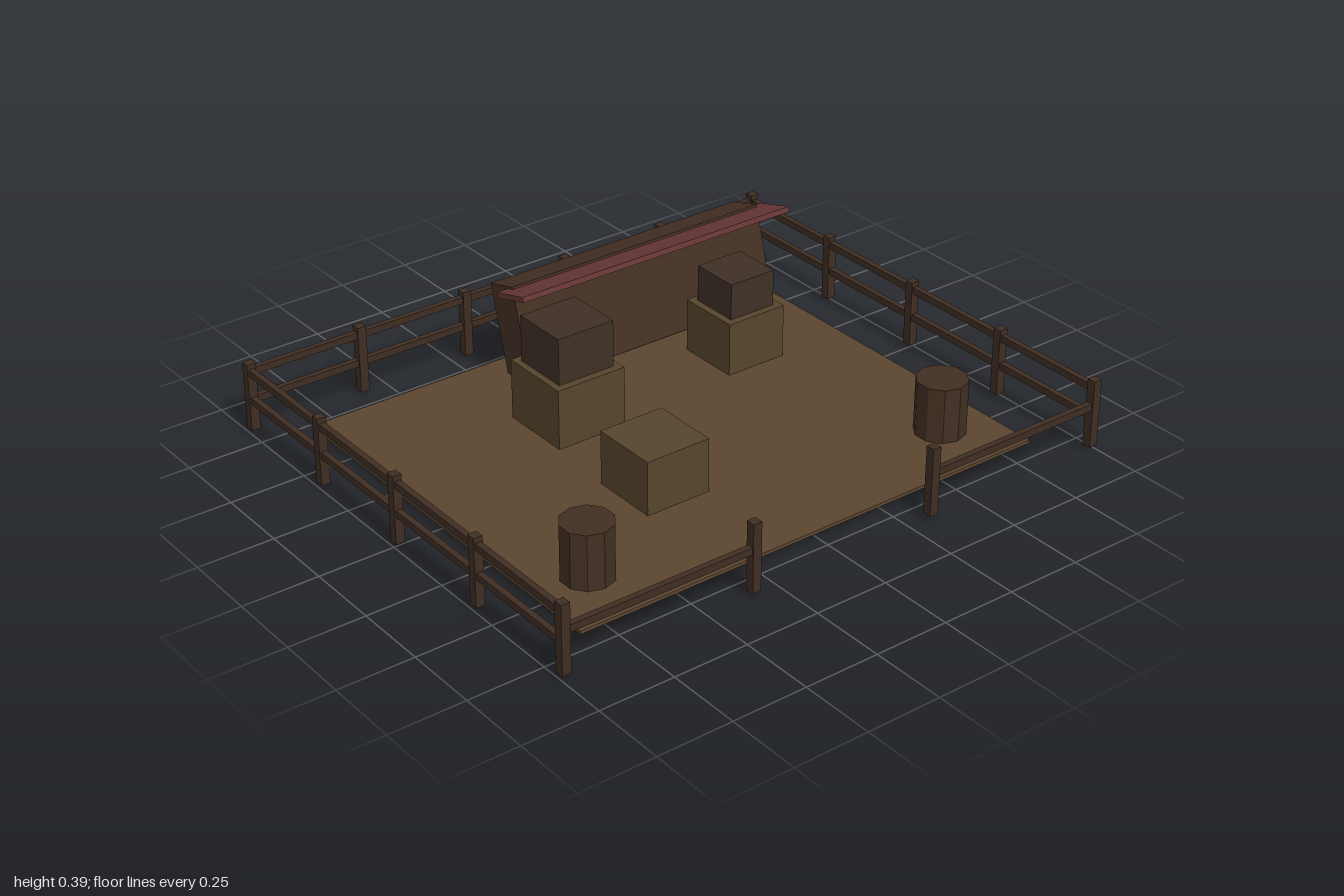
import * as THREE from 'three';

const mat = (color) => new THREE.MeshStandardMaterial({ color, flatShading: true });

export function createModel() {
  const model = new THREE.Group();
  const fenceWood = mat(0x402e23), soil = mat(0x5c4630), crateWood = mat(0x57452d);
  const darkCrate = mat(0x3f3026), barrelWood = mat(0x422f23), stallWood = mat(0x453024), cloth = mat(0x673836);
  const BASE = 0.016;

  function add(name, geometry, material, x, y, z, parent = model) {
    const mesh = new THREE.Mesh(geometry, material);
    mesh.name = name;
    mesh.position.set(x, y, z);
    parent.add(mesh);
    return mesh;
  }
  // Box given by size, with its underside at height y0
  const box = (name, w, h, d, material, x, y0, z, parent) =>
    add(name, new THREE.BoxGeometry(w, h, d), material, x, y0 + h / 2, z, parent);

  // Ground slab
  box('ground', 1.69, 0.011, 1.406, soil, 0, BASE, 0);

  // Fence: posts, two rails on back and sides, one rail each side of the front gap
  const fence = new THREE.Group();
  fence.name = 'fence';
  model.add(fence);
  const X = 0.985, Z = 0.82, GATE = 0.333;
  const post = (x, z) => box('fencePost', 0.03, 0.228, 0.03, fenceWood, x, BASE, z, fence);
  for (let i = 0; i <= 5; i++) post(-X + (i * 2 * X) / 5, -Z);
  for (const s of [-1, 1]) {
    for (let i = 1; i <= 4; i++) post(s * X, -Z + (i * Z) / 2);
    post(s * GATE, Z);
    add('frontRail', new THREE.BoxGeometry(X - GATE, 0.024, 0.02), fenceWood, s * (X + GATE) / 2, 0.155, Z, fence);
  }
  for (const y of [0.118, 0.215]) {
    add('backRail', new THREE.BoxGeometry(2 * X, 0.023, 0.02), fenceWood, 0, y, -Z, fence);
    for (const s of [-1, 1])
      add('sideRail', new THREE.BoxGeometry(0.02, 0.023, 2 * Z), fenceWood, s * X, y, 0, fence);
  }

  // Crates, two of them stacked
  box('largeCrate', 0.248, 0.214, 0.25, crateWood, -0.203, BASE, -0.247);
  box('upperLargeCrate', 0.204, 0.157, 0.198, darkCrate, -0.203, 0.23, -0.247);
  box('mediumCrate', 0.22, 0.192, 0.22, crateWood, 0.48, BASE, -0.281);
  box('upperMediumCrate', 0.171, 0.124, 0.171, darkCrate, 0.48, 0.208, -0.281);
  box('singleCrate', 0.226, 0.192, 0.23, crateWood, -0.23, BASE, 0.228);

  // Ten-sided barrels
  for (const s of [-1, 1])
    add('barrel', new THREE.CylinderGeometry(0.083, 0.083, 0.195, 10), barrelWood, s * 0.667, BASE + 0.0975, 0.492);

  // Stall leaning backwards, with its awning
  const tilt = -0.28;
  add('stall', new THREE.BoxGeometry(0.98, 0.326, 0.127), stallWood, 0.312, 0.175, -0.59).rotation.x = tilt;
  add('awning', new THREE.BoxGeometry(1.063, 0.018, 0.15), cloth, 0.312, 0.345, -0.527).rotation.x = tilt;

  return model;
}
